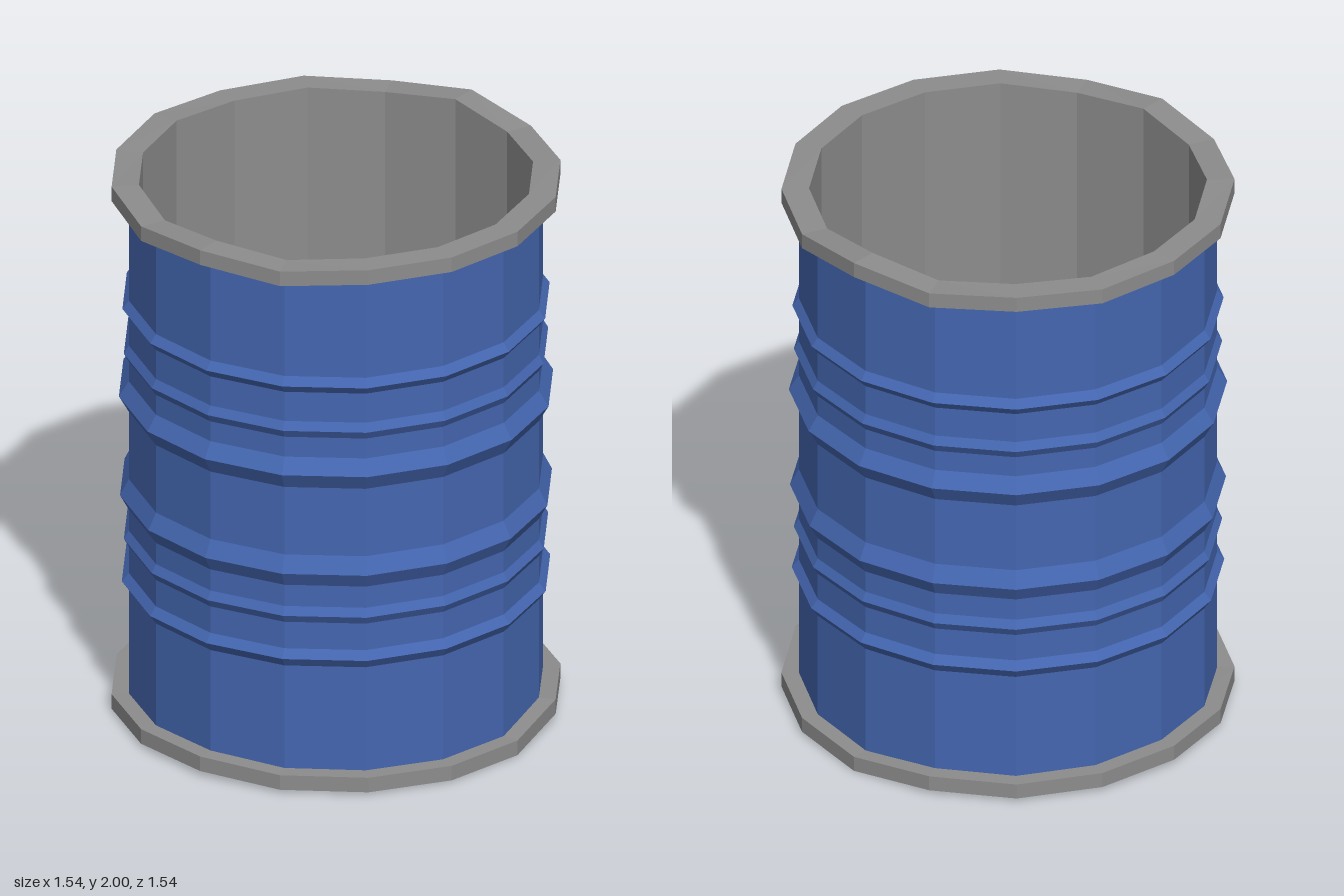
import * as THREE from 'three';

const SIDES = 16;

// Faceted solid of revolution; heights (optional) shifts each corner column in y
function turned(profile, heights) {
  const lathe = new THREE.LatheGeometry(profile.map(([r, y]) => new THREE.Vector2(r, y)), SIDES);
  if (heights) {
    const p = lathe.attributes.position;
    const n = profile.length;
    for (let i = 0; i < p.count; i++) {
      p.setY(i, p.getY(i) + heights[Math.floor(i / n) % SIDES]);
    }
  }
  const flat = lathe.toNonIndexed();
  flat.computeVertexNormals();
  return flat;
}

export function createModel() {
  const group = new THREE.Group();
  group.name = 'barrel';
  const blue = new THREE.MeshStandardMaterial({ color: 0x4466b0 });
  blue.name = 'blue paint';
  const grey = new THREE.MeshStandardMaterial({ color: 0x8c8c8c });
  grey.name = 'bare grey metal';

  function add(name, geometry, material) {
    const mesh = new THREE.Mesh(geometry, material);
    mesh.name = name;
    group.add(mesh);
  }

  // Outer shell with closed bottom and six pressed ribs: [peak y, peak radius, rise below, rise above]
  const wall = 0.713;
  const ribs = [
    [0.49, 0.737, 0.035, 0.03], [0.65, 0.73, 0.03, 0.03], [0.815, 0.743, 0.055, 0.06],
    [1.19, 0.747, 0.06, 0.055], [1.35, 0.73, 0.03, 0.03], [1.52, 0.735, 0.03, 0.03],
  ];
  const shell = [[0, 0.012], [wall, 0.012]];
  for (const [y, r, below, above] of ribs) {
    shell.push([wall, y - below], [r, y], [wall, y + above]);
  }
  shell.push([wall, 1.95]);
  add('ribbedShell', turned(shell), blue);

  // Inside of the drum
  add('innerWall', turned([[0.678, 1.95], [0.678, 0.035]]), grey);
  add('innerFloor', turned([[0.678, 0.035], [0, 0.035]]), blue);

  // Uneven rims, corner heights running from the front around by the left side
  const rim = [[0.678, 0], [0.772, 0], [0.772, 0.055], [0.678, 0.055], [0.678, 0]];
  const topHeights = [1.93, 1.93, 1.925, 1.917, 1.945, 1.917, 1.927, 1.92,
    1.93, 1.925, 1.93, 1.917, 1.935, 1.917, 1.93, 1.93];
  const bottomHeights = [0.005, 0.03, 0.02, 0.012, 0, 0.015, 0.01, 0.015,
    0.02, 0.015, 0.01, 0.015, 0.02, 0.012, 0.01, 0.007];
  add('topRim', turned(rim, topHeights), grey);
  add('bottomRim', turned(rim, bottomHeights), grey);

  return group;
}
